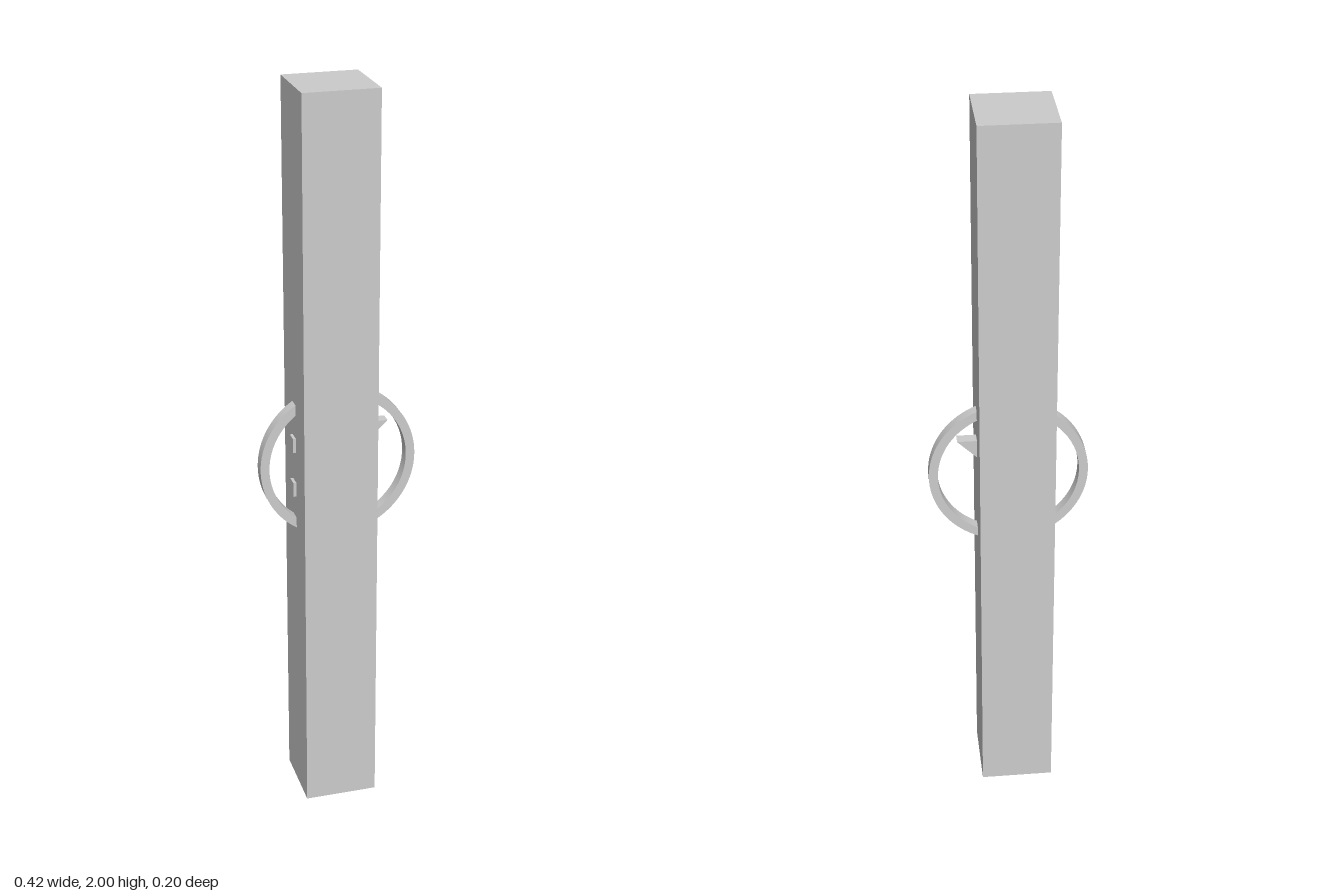
import * as THREE from 'three';

const material = new THREE.MeshStandardMaterial({ color: 0xcccccc });
const BACK = -0.018, DEPTH = 0.032; // shared thickness of the ring and its inner pieces
const CENTRE_Y = 0.99;

function addMesh(group, name, geometry, x = 0, y = 0, z = 0) {
  const mesh = new THREE.Mesh(geometry, material);
  mesh.name = name;
  mesh.position.set(x, y, z);
  group.add(mesh);
}

function plate(shape) {
  return new THREE.ExtrudeGeometry(shape, { depth: DEPTH, bevelEnabled: false, curveSegments: 48 });
}

export function createModel() {
  const model = new THREE.Group();
  model.name = 'postWithRing';

  // Tall square post, slightly off the ring's axis
  addMesh(model, 'post', new THREE.BoxGeometry(0.198, 2, 0.2), -0.016, 1, 0);

  // Flat ring, rectangular section with smooth rims, running through the post
  const outer = 0.211, inner = 0.187;
  const section = [[inner, 0], [outer, 0], [outer, DEPTH], [inner, DEPTH], [inner, 0]];
  const ringGroup = new THREE.Group();
  ringGroup.name = 'ring';
  for (let i = 0; i < 4; i++) {
    const edge = [section[i], section[i + 1]].map(([r, h]) => new THREE.Vector2(r, h));
    addMesh(ringGroup, 'ringFace', new THREE.LatheGeometry(edge, 96));
  }
  ringGroup.rotation.x = Math.PI / 2;
  ringGroup.position.set(0, CENTRE_Y, BACK);
  model.add(ringGroup);

  // Pointed wedge emerging from the post's left side
  const wedge = new THREE.Shape([
    new THREE.Vector2(0.04, 1.003),
    new THREE.Vector2(0.135, 1.096),
    new THREE.Vector2(0.04, 1.096),
  ]);
  addMesh(model, 'wedge', plate(wedge), 0, 0, BACK);

  // Two small pegs just proud of the post's right side
  for (const y of [1.052, 0.925]) {
    addMesh(model, 'peg', new THREE.BoxGeometry(0.03, 0.04, DEPTH), -0.108, y, BACK + DEPTH / 2);
  }
  return model;
}
